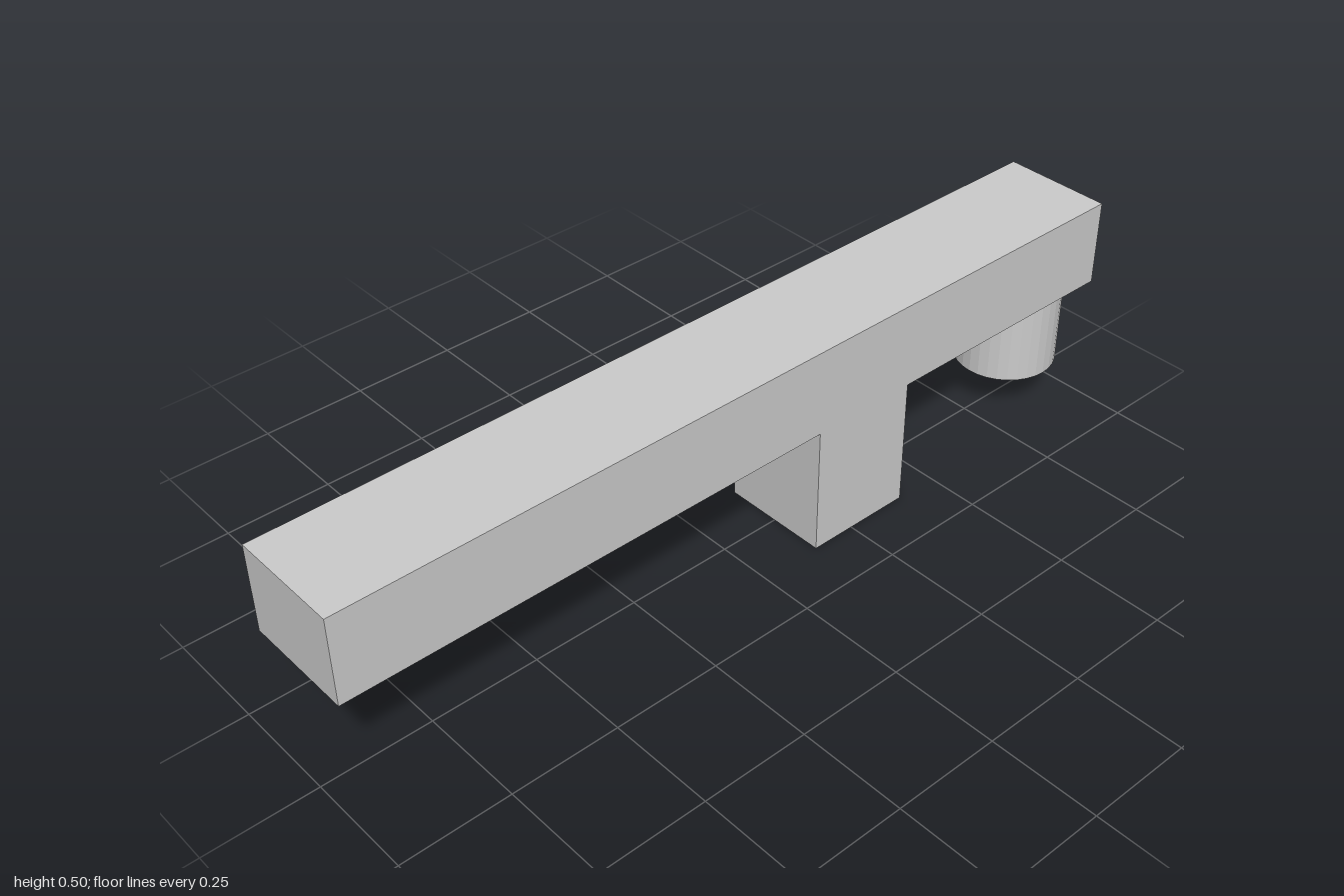
import * as THREE from 'three';

export function createModel() {
  const group = new THREE.Group();
  const material = new THREE.MeshStandardMaterial({ color: 0xcccccc, flatShading: true });
  const width = 0.255, top = 0.502, underside = 0.302;

  // Beam and post as one T-shaped side profile: [z, y]
  const profile = [
    [-1, underside], [-0.4, underside], [-0.4, 0], [-0.145, 0],
    [-0.145, underside], [1, underside], [1, top], [-1, top],
  ];
  const shape = new THREE.Shape(profile.map(([z, y]) => new THREE.Vector2(z, y)));
  const bodyGeometry = new THREE.ExtrudeGeometry(shape, { depth: width, bevelEnabled: false });
  bodyGeometry.translate(0, 0, -width / 2).rotateY(-Math.PI / 2);
  const body = new THREE.Mesh(bodyGeometry, material);
  body.name = 'beamWithPost';
  group.add(body);

  // Round peg hanging under the back end
  const pegBottom = 0.105;
  const pegHeight = underside - pegBottom;
  const peg = new THREE.Mesh(new THREE.CylinderGeometry(0.118, 0.118, pegHeight, 32), material);
  peg.name = 'peg';
  peg.position.set(0, pegBottom + pegHeight / 2, -0.873);
  group.add(peg);

  return group;
}
